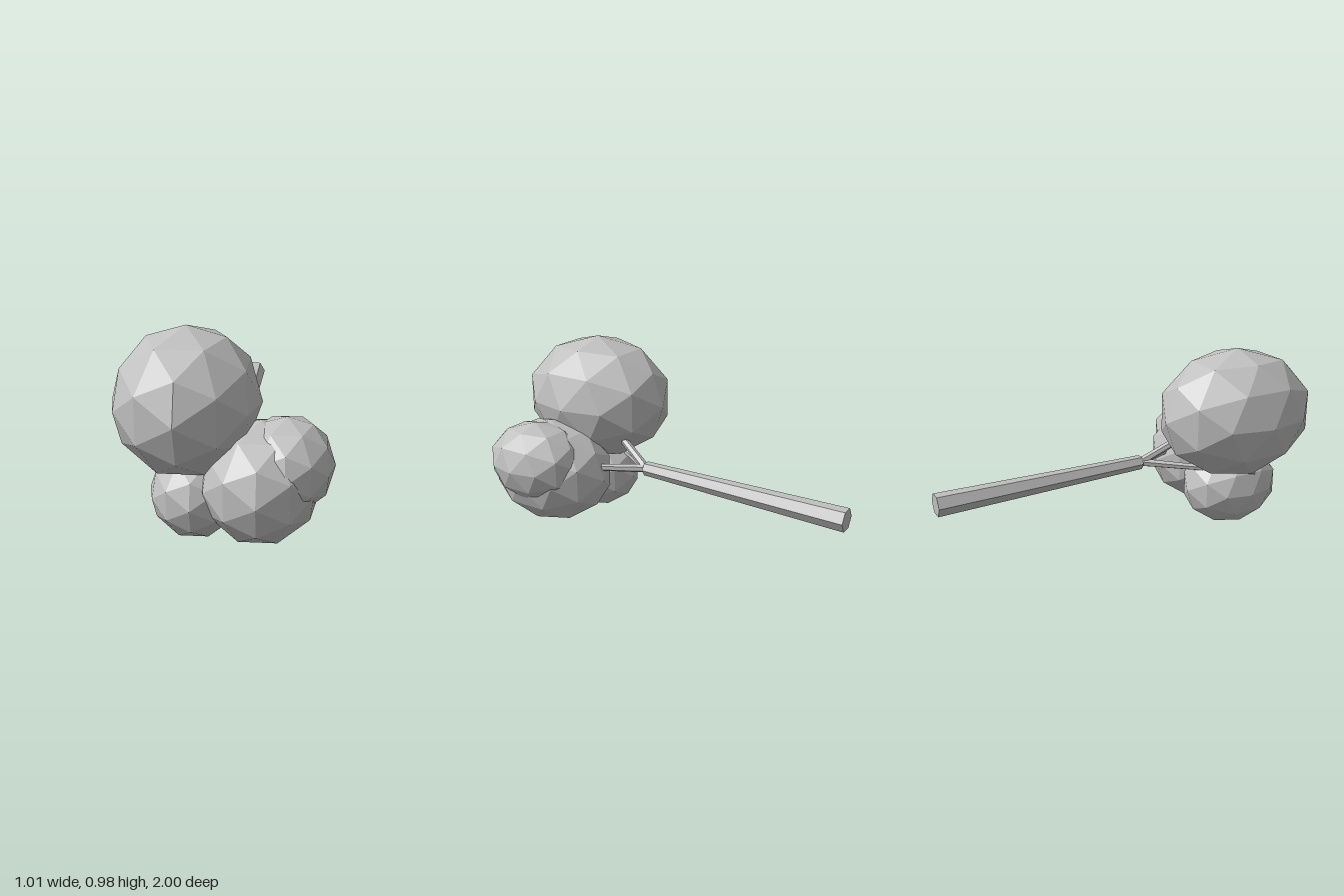
import * as THREE from 'three';

const bark = new THREE.MeshStandardMaterial({ color: 0xc0c0c0, flatShading: true });
bark.name = 'light grey';

// Six-sided tapered limb between two points
function limb(name, from, to, r0, r1) {
  const a = new THREE.Vector3(...from);
  const b = new THREE.Vector3(...to);
  const dir = b.clone().sub(a);
  const geo = new THREE.CylinderGeometry(r1, r0, dir.length(), 6, 1, false, Math.PI / 2);
  const mesh = new THREE.Mesh(geo, bark);
  mesh.name = name;
  mesh.position.copy(a).add(b).multiplyScalar(0.5);
  mesh.quaternion.setFromUnitVectors(new THREE.Vector3(0, 1, 0), dir.normalize());
  return mesh;
}

// Faceted foliage ball, stretched along the trunk direction
function foliage(name, center, r) {
  const geo = new THREE.IcosahedronGeometry(r, 1).scale(1, 1, 1.25);
  const mesh = new THREE.Mesh(geo, bark);
  mesh.name = name;
  mesh.position.set(...center);
  return mesh;
}

export function createModel() {
  const tree = new THREE.Group();
  tree.name = 'fallenTree';

  // Trunk and its three forks
  const fork = [0.037, 0.368, 0.12];
  tree.add(
    limb('trunk', [0.037, 0.368, -1], fork, 0.058, 0.038),
    limb('upperBranch', fork, [-0.11, 0.64, 0.6], 0.022, 0.018),
    limb('leftBranch', fork, [0.19, 0.355, 0.45], 0.022, 0.018),
    limb('rightBranch', fork, [-0.31, 0.333, 0.62], 0.022, 0.012)
  );

  // Crown
  tree.add(
    foliage('largeFoliage', [-0.167, 0.64, 0.575], 0.341),
    foliage('middleFoliage', [0.17, 0.298, 0.65], 0.28),
    foliage('lowerFoliage', [-0.125, 0.218, 0.59], 0.217),
    foliage('sideFoliage', [0.286, 0.379, 0.655], 0.218)
  );
  return tree;
}
